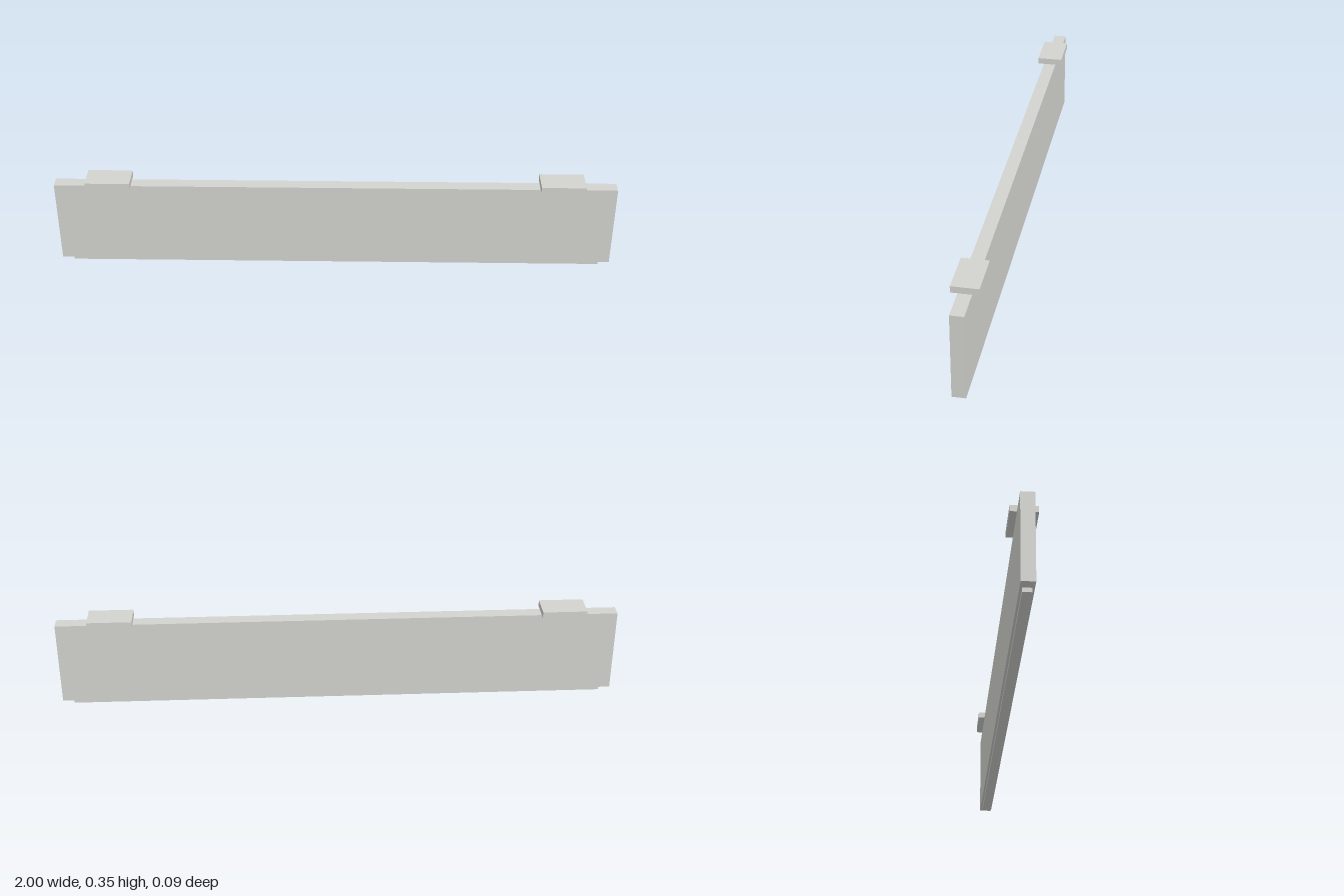
import * as THREE from 'three';

export function createModel() {
  const model = new THREE.Group();
  model.name = 'barrierPanel';
  const grey = new THREE.MeshStandardMaterial({ color: 0xd3d3cf });
  grey.name = 'light concrete grey';

  // Box spanning y0..y1, centred on z = 0
  function block(name, width, y0, y1, depth, x = 0) {
    const mesh = new THREE.Mesh(new THREE.BoxGeometry(width, y1 - y0, depth), grey);
    mesh.name = name;
    mesh.position.set(x, (y0 + y1) / 2, 0);
    model.add(mesh);
  }

  // Main slab and the narrow tongue beneath it
  block('panel', 2, 0.015, 0.323, 0.046);
  block('bottomTongue', 1.922, 0, 0.015, 0.031);

  // Wide caps near both ends of the top edge
  for (const side of [-1, 1]) {
    block(side > 0 ? 'leftCap' : 'rightCap', 0.158, 0.323, 0.346, 0.092, side * 0.806);
  }
  return model;
}
